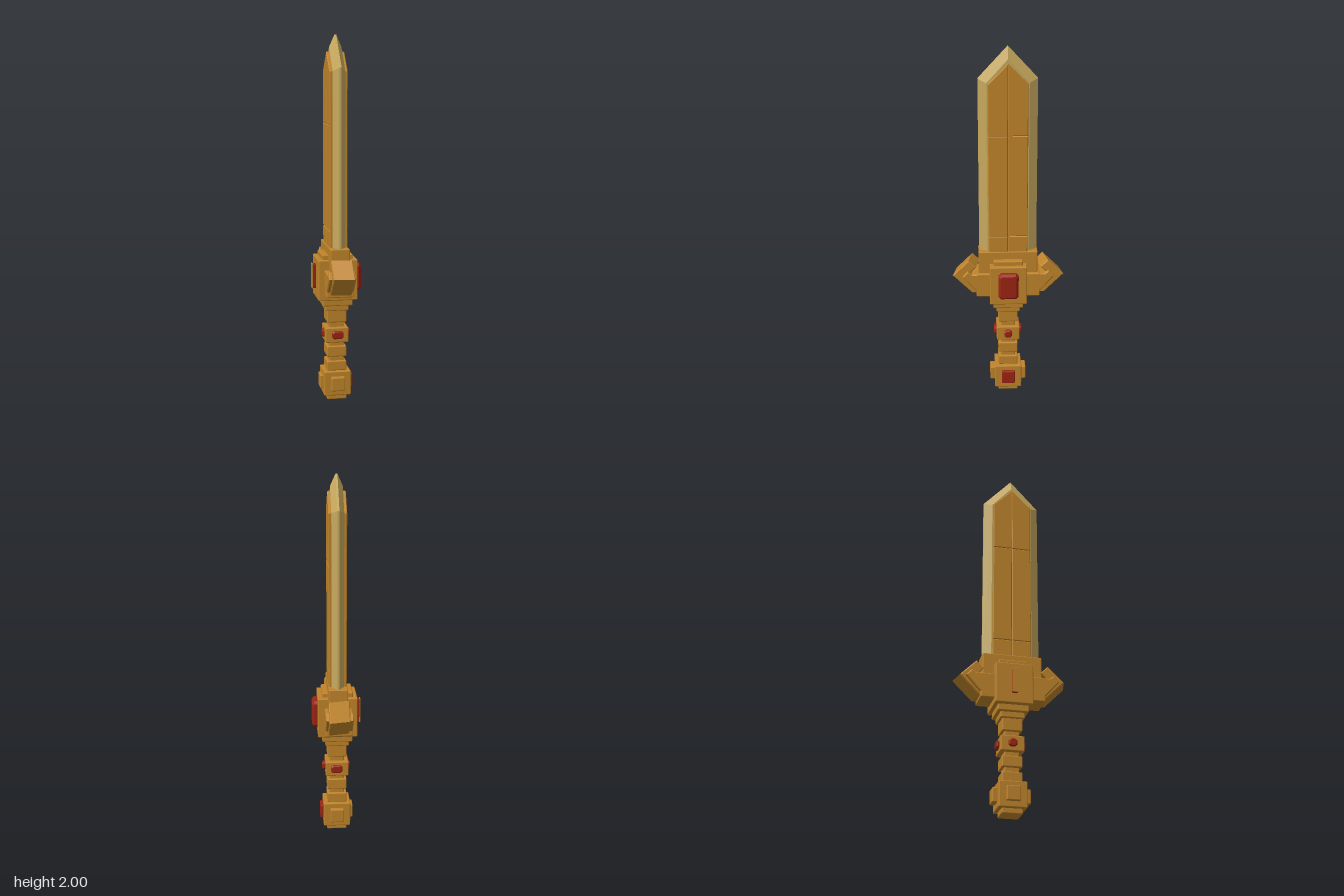
import * as THREE from 'three';
import { RoundedBoxGeometry } from 'three/addons/geometries/RoundedBoxGeometry.js';

const material = (name, color) => Object.assign(new THREE.MeshStandardMaterial({ color }), { name });

export function createModel() {
  const sword = new THREE.Group();
  sword.name = 'sword';
  const gold = material('gold', 0xc0842a);
  const pale = material('paleGold', 0xc8aa5e);
  const red = material('redGem', 0x9c2412);

  const add = (name, geometry, mat, parent = sword) => {
    const mesh = new THREE.Mesh(geometry, mat);
    mesh.name = name;
    parent.add(mesh);
    return mesh;
  };

  // Softly rounded block given by its limits on each axis
  const block = (name, mat, [x0, x1], [y0, y1], [z0, z1], radius = 0.006) => {
    const g = new RoundedBoxGeometry(x1 - x0, y1 - y0, z1 - z0, 2, radius);
    g.translate((x0 + x1) / 2, (y0 + y1) / 2, (z0 + z1) / 2);
    return add(name, g, mat);
  };

  // Bevelled plate: outline in (z, y), thickness along x
  const plate = (points, x0, x1, bevel = 0.005, bevelWidth = bevel) => {
    const shape = new THREE.Shape(points.map(([z, y]) => new THREE.Vector2(z, y)));
    const g = new THREE.ExtrudeGeometry(shape, {
      depth: x1 - x0 - 2 * bevel, bevelEnabled: true, bevelSegments: 1,
      bevelThickness: bevel, bevelSize: bevelWidth, bevelOffset: -bevelWidth,
    });
    g.translate(0, 0, -(x1 - x0 - 2 * bevel) / 2);
    g.rotateY(-Math.PI / 2);
    g.translate((x0 + x1) / 2, 0, 0);
    return g;
  };

  // Blade with sloping cutting edges
  add('bladeEdge', plate(
    [[-0.157, 0.8], [0.157, 0.8], [0.157, 1.83], [0, 2], [-0.157, 1.83]],
    -0.036, 0.031, 0.028, 0.045), pale);

  // Raised blade core: two halves beside a central groove, in sections
  const seams = [0.8, 0.96, 1.53];
  for (const s of [-1, 1]) {
    seams.forEach((y, i) => {
      const outline = i < 2
        ? [[s * 0.001, y], [s * 0.106, y], [s * 0.106, seams[i + 1]], [s * 0.001, seams[i + 1]]]
        : [[s * 0.001, y], [s * 0.106, y], [s * 0.106, 1.81], [s * 0.001, 1.912]];
      add('bladeCore', plate(outline, -0.052, 0.046, 0.004), gold);
    });
  }
  block('bladeCollar', gold, [-0.056, 0.049], [0.72, 0.87], [-0.162, 0.162]);

  // Guard block
  block('guardTop', gold, [-0.088, 0.08], [0.76, 0.826], [-0.08, 0.08]);
  block('guardBlock', gold, [-0.112, 0.104], [0.575, 0.8], [-0.102, 0.102]);
  block('guardBar', gold, [-0.08, 0.068], [0.608, 0.745], [-0.175, 0.175]);

  // Guard arms with slanted claws
  for (const s of [-1, 1]) {
    const side = (pts) => pts.map(([z, y]) => [s * z, y]);
    add('guardArm', plate(side([[0.09, 0.64], [0.175, 0.64], [0.252, 0.727],
      [0.222, 0.76], [0.2, 0.742], [0.09, 0.745]]), -0.08, 0.068), gold);
    const claw = plate(side([[0.15, 0.625], [0.195, 0.625], [0.302, 0.733],
      [0.214, 0.82], [0.174, 0.78], [0.21, 0.74], [0.15, 0.73]]), -0.061, 0.052);
    const p = claw.attributes.position;
    for (let i = 0; i < p.count; i++) p.setZ(i, p.getZ(i) + s * (p.getX(i) - 0.03) * 0.22);
    claw.computeVertexNormals();
    add('guardClaw', claw, gold);
  }

  // Guard gem and the narrow setting opposite
  add('guardGem', plate([[-0.042, 0.617], [0.042, 0.617], [0.055, 0.633], [0.055, 0.752],
    [0.042, 0.768], [-0.042, 0.768], [-0.055, 0.752], [-0.055, 0.633]], 0.08, 0.133, 0.012), red);
  block('rearSetting', red, [-0.131, -0.1], [0.63, 0.765], [-0.015, 0.015], 0.004);
  block('rearSettingCap', gold, [-0.135, -0.129], [0.628, 0.767], [-0.016, 0.016], 0.002);

  // Grip: stacked square rings, [bottom, top, half width]
  const grip = [
    [0.54, 0.58, 0.083], [0.508, 0.545, 0.065], [0.44, 0.512, 0.054], [0.328, 0.412, 0.064],
    [0.245, 0.305, 0.054], [0.165, 0.22, 0.054],
  ];
  block('gripCore', gold, [-0.043, 0.038], [0.1, 0.56], [-0.04, 0.04]);
  for (const [y0, y1, r] of grip) block('gripRing', gold, [-r - 0.003, r - 0.003], [y0, y1], [-r, r]);

  // Small gems on the four faces of the middle ring
  for (let i = 0; i < 4; i++) {
    const w = i % 2 ? 0.032 : 0.022;
    const gem = add('gripGem', plate([[-w, 0.36], [-w + 0.012, 0.35], [w - 0.012, 0.35], [w, 0.36],
      [w, 0.384], [w - 0.012, 0.394], [-w + 0.012, 0.394], [-w, 0.384]], 0.05, 0.078, 0.006), red);
    gem.rotation.y = i * Math.PI / 2;
  }

  // Pommel with a raised plate on each face, one of them a gem
  block('pommel', gold, [-0.077, 0.073], [0.028, 0.166], [-0.075, 0.075]);
  block('pommelFoot', gold, [-0.057, 0.053], [0, 0.06], [-0.055, 0.055]);
  block('pommelGem', red, [0.05, 0.09], [0.06, 0.138], [-0.037, 0.037]);
  block('pommelSidePlate', gold, [-0.093, -0.05], [0.06, 0.138], [-0.037, 0.037]);
  for (const s of [-1, 1]) {
    block('pommelPlate', gold, [-0.04, 0.036], [0.06, 0.138], [s * 0.075 - 0.026, s * 0.075 + 0.026]);
  }
  return sword;
}
